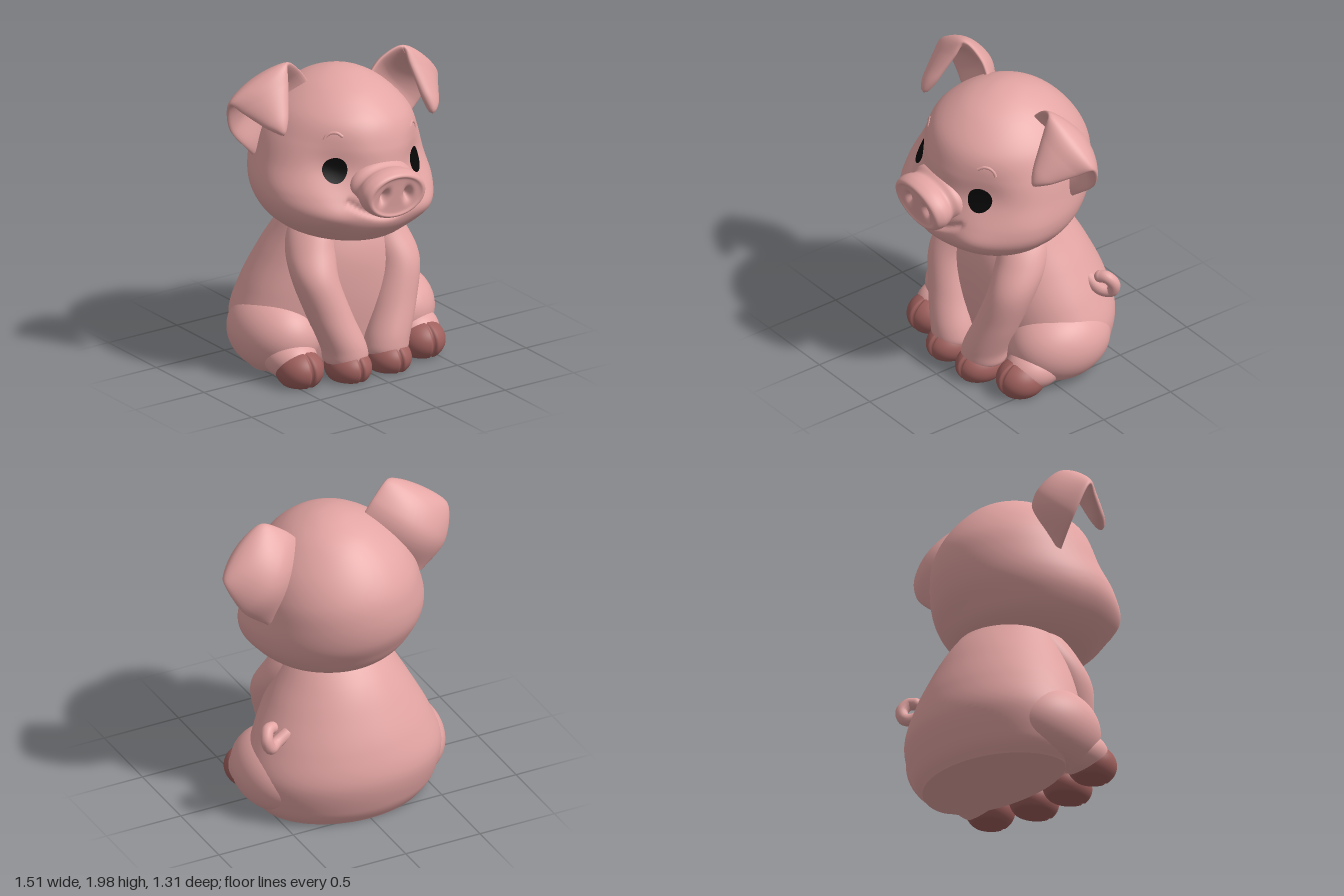
import * as THREE from 'three';
import { mergeVertices } from 'three/addons/utils/BufferGeometryUtils.js';

const skin = new THREE.MeshStandardMaterial({ color: 0xe3a5a3 });
skin.name = 'pink skin';
const horn = new THREE.MeshStandardMaterial({ color: 0x9f605d });
horn.name = 'hoof brown';
const black = new THREE.MeshStandardMaterial({ color: 0x070707 });
black.name = 'eye black';

// Weld a geometry, move its vertices by a rule, and smooth it
function sculpt(geo, rule = () => {}) {
  geo.deleteAttribute('uv');
  geo.deleteAttribute('normal');
  const g = mergeVertices(geo, 1e-5);
  const pos = g.attributes.position;
  const p = new THREE.Vector3();
  for (let i = 0; i < pos.count; i++) {
    p.fromBufferAttribute(pos, i);
    rule(p);
    pos.setXYZ(i, p.x, p.y, p.z);
  }
  g.computeVertexNormals();
  return g;
}

// Closed rings along a path: at(t, angle) returns a point
function rings(rows, cols, at, rule) {
  const verts = [], index = [];
  for (let i = 0; i <= rows; i++) {
    for (let j = 0; j < cols; j++) verts.push(...at(i / rows, (j / cols) * Math.PI * 2).toArray());
  }
  for (let i = 0; i < rows; i++) {
    for (let j = 0; j < cols; j++) {
      const k = (j + 1) % cols, a = i * cols, b = a + cols;
      index.push(a + j, a + k, b + k, a + j, b + k, b + j);
    }
  }
  const g = new THREE.BufferGeometry();
  g.setAttribute('position', new THREE.Float32BufferAttribute(verts, 3));
  g.setIndex(index);
  return sculpt(g, rule);
}

// Smooth loft of level sections [y, halfWidth, zCentre, frontDepth, backDepth, xCentre]
function loft(sections, rows, cols, rule) {
  const n = sections.length;
  const flip = (s, end) => (end[1] === 0 ? [s[0], -s[1], s[2], -s[3], -s[4], s[5]] : end);
  const list = [flip(sections[1], sections[0]), ...sections, flip(sections[n - 2], sections[n - 1])];
  const sample = (t) => {
    const i = Math.min(Math.floor(t * (n - 1)), n - 2), f = t * (n - 1) - i;
    return [0, 1, 2, 3, 4, 5].map((k) => {
      const [a, b, c, d] = [0, 1, 2, 3].map((m) => list[i + m][k] ?? 0);
      return b + 0.5 * f * (c - a + f * (2 * a - 5 * b + 4 * c - d + f * (3 * (b - c) + d - a)));
    });
  };
  return rings(rows, cols, (t, a) => {
    const [y, w, zc, front, back, xc] = sample(t);
    const c = Math.cos(a);
    return new THREE.Vector3(xc + w * Math.sin(a), y, zc + c * (c > 0 ? front : back));
  }, rule);
}

function mirrored(geo) {
  const g = geo.clone().scale(-1, 1, 1);
  const ix = g.index.array;
  for (let i = 0; i < ix.length; i += 3) [ix[i], ix[i + 1]] = [ix[i + 1], ix[i]];
  g.computeVertexNormals();
  return g;
}

function add(parent, name, geo, mat) {
  const m = new THREE.Mesh(geo, mat);
  m.name = name;
  parent.add(m);
  return m;
}

function addPair(parent, name, geo, mat) {
  add(parent, name + 'Left', geo, mat);
  add(parent, name + 'Right', mirrored(geo), mat);
}

const bump = (dx, dy, sx, sy = sx) => Math.exp(-((dx / sx) ** 2) - (dy / sy) ** 2);

// Ellipsoid resting flat on the ground
function blob(x, y, z, rx, ry, rz, rule = () => {}) {
  return sculpt(new THREE.SphereGeometry(1, 96, 40), (p) => {
    rule(p);
    p.set(x + p.x * rx, Math.max(0, y + p.y * ry), z + p.z * rz);
  });
}

const cleft = (p) => {
  if (p.z > 0) p.z *= 1 - 0.2 * Math.exp(-((p.x / 0.06) ** 2));
};

// Folded ear: the sheet runs from the root over the fold to the flap tip
function earGeometry() {
  const edge = (root, side, fold, tip) => {
    const [r, s, f, t] = [root, side, fold, tip].map((q) => new THREE.Vector3(...q));
    return new THREE.CatmullRomCurve3([r, s, f, f.clone().lerp(t, 0.25), t]);
  };
  const inner = edge([0.2, 1.75, -0.04], [0.3, 1.87, -0.04], [0.42, 1.94, 0], [0.515, 1.565, 0.19]);
  const outer = edge([0.52, 1.33, -0.15], [0.685, 1.5, -0.17], [0.755, 1.69, -0.1], [0.575, 1.55, 0.18]);
  const sheet = (u, v) => {
    const p = inner.getPoint(v).lerp(outer.getPoint(v), u);
    const arch = Math.sin(Math.PI * u);
    // Cupped back panel, with a fuller lower lobe and a rounded flap
    if (v < 0.5) p.z -= 0.1 * arch * Math.sin(Math.PI * (0.15 + v * 1.7));
    else p.z += 0.03 * arch * Math.sin(Math.PI * (v - 0.5) * 2);
    return p;
  };
  return rings(80, 40, (v, a) => {
    const k = v > 0.9 ? Math.sqrt(Math.max(0, 1 - ((v - 0.9) / 0.1) ** 2)) : 1;
    const u = 0.5 + 0.5 * k * Math.cos(a);
    const v0 = Math.min(Math.max(v, 0.01), 0.97);
    const du = sheet(u + 0.01, v0).sub(sheet(u - 0.01, v0));
    const dv = sheet(u, v0 + 0.01).sub(sheet(u, v0 - 0.01));
    const normal = du.cross(dv).normalize();
    return sheet(u, v).addScaledVector(normal, -0.04 * k * Math.sin(a));
  });
}

function buildHead() {
  const g = new THREE.Group();
  g.position.y = -1.3;
  const skull = add(g, 'skull', loft([
    [0.85, 0, 0.08, 0, 0], [0.885, 0.27, 0.08, 0.27, 0.3], [0.96, 0.43, 0.08, 0.38, 0.46],
    [1.08, 0.54, 0.1, 0.42, 0.57], [1.2, 0.565, 0.08, 0.425, 0.61], [1.35, 0.53, 0.02, 0.455, 0.57],
    [1.5, 0.485, -0.02, 0.5, 0.505], [1.65, 0.405, -0.02, 0.445, 0.415],
    [1.78, 0.265, -0.02, 0.3, 0.28], [1.85, 0.125, -0.02, 0.14, 0.13], [1.87, 0, -0.02, 0, 0],
  ], 120, 128, (p) => {
    if (p.z < 0) return;
    const x = Math.abs(p.x);
    // Cheeks, eye sockets, muzzle, chin and smile crease
    p.z += 0.05 * bump(x - 0.36, p.y - 1.1, 0.15, 0.12) - 0.04 * bump(x - 0.32, p.y - 1.42, 0.13, 0.14);
    p.z += 0.045 * bump(p.x, p.y - 1.28, 0.2, 0.15) + 0.035 * bump(p.x, p.y - 1.04, 0.2, 0.1);
    if (x < 0.25) p.z -= 0.025 * Math.exp(-(((p.y - 1.1 - 1.5 * x * x) / 0.022) ** 2));
  }), skin);

  // Point on the face, raised by lift
  const ray = new THREE.Raycaster();
  const onFace = (x, y, lift) => {
    ray.set(new THREE.Vector3(x, y, 2), new THREE.Vector3(0, 0, -1));
    return new THREE.Vector3(x, y, ray.intersectObject(skull)[0].point.z + lift);
  };
  addPair(g, 'eye', sculpt(new THREE.RingGeometry(0, 1, 32, 5), (p) => {
    p.copy(onFace(0.291 + p.x * 0.061 - p.y * 0.012, 1.367 + p.y * 0.075, 0.007));
  }), black);
  const browLine = [[0.245, 1.57], [0.268, 1.588], [0.295, 1.586], [0.32, 1.565], [0.332, 1.54]]
    .map(([x, y]) => onFace(x, y, -0.005));
  addPair(g, 'brow', sculpt(new THREE.TubeGeometry(new THREE.CatmullRomCurve3(browLine), 20, 0.01, 8)), skin);
  addPair(g, 'ear', earGeometry(), skin);

  // Snout with a folded rim and two nostril dents
  const profile = new THREE.SplineCurve([
    [0.9, -0.14], [1.01, -0.09], [1.02, -0.055], [0.93, -0.015], [0.99, 0.02], [1.02, 0.06],
    [0.97, 0.1], [0.87, 0.115], [0.74, 0.108], [0.5, 0.106], [0.25, 0.106], [0, 0.106],
  ].map((q) => new THREE.Vector2(...q))).getPoints(70);
  profile[70].x = 0;
  const snout = add(g, 'snout', sculpt(new THREE.LatheGeometry(profile, 72).rotateX(Math.PI / 2), (p) => {
    const x = Math.abs(p.x);
    if (p.z > 0.05) p.z -= 0.05 * bump(x - 0.39 + p.y * 0.12, p.y, 0.12, 0.27);
    p.x *= 0.218;
    p.y *= 0.152;
  }), skin);
  snout.position.set(0, 1.262, 0.522);
  snout.rotation.x = 0.16;

  const head = new THREE.Group();
  head.name = 'head';
  head.position.set(-0.026, 1.3, 0);
  head.rotation.z = -0.09;
  head.add(g);
  return head;
}

export function createModel() {
  const model = new THREE.Group();
  model.name = 'sittingPiglet';
  model.add(buildHead());

  // Body with a flat base
  add(model, 'body', loft([
    [0, 0.52, -0.15, 0.25, 0.39], [0.1, 0.59, -0.15, 0.33, 0.45], [0.3, 0.62, -0.17, 0.39, 0.48],
    [0.5, 0.555, -0.15, 0.39, 0.46], [0.7, 0.455, -0.12, 0.36, 0.405],
    [0.85, 0.375, -0.08, 0.29, 0.36], [1, 0.3, -0.05, 0.2, 0.27],
  ], 60, 80), skin);
  add(model, 'base', loft([[0, 0, -0.15, 0, 0], [0, 0.52, -0.15, 0.25, 0.39]], 2, 80), skin);

  // Legs and hooves
  addPair(model, 'frontLeg', loft([
    [0.05, 0, 0.25, 0, 0, 0.145], [0.1, 0.125, 0.25, 0.125, 0.125, 0.145], [0.2, 0.14, 0.25, 0.14, 0.14, 0.16],
    [0.4, 0.14, 0.21, 0.14, 0.14, 0.235], [0.63, 0.14, 0.15, 0.15, 0.16, 0.295],
    [0.8, 0.15, 0.05, 0.165, 0.16, 0.26], [0.95, 0.13, -0.02, 0.15, 0.14, 0.19], [1.03, 0, -0.02, 0, 0, 0.18],
  ], 56, 40), skin);
  addPair(model, 'frontHoof', blob(0.145, 0.07, 0.28, 0.137, 0.115, 0.16, cleft), horn);
  addPair(model, 'haunch', blob(0.41, 0.24, -0.11, 0.265, 0.25, 0.33), skin);
  addPair(model, 'hindFoot', blob(0.445, 0.138, 0.1, 0.158, 0.13, 0.18), skin);
  addPair(model, 'hindHoof', blob(0.443, 0.09, 0.2, 0.145, 0.125, 0.155, cleft), horn);

  // Curly tail with a rounded end
  const curl = [[0.44, 0.6, -0.31], [0.53, 0.56, -0.33], [0.585, 0.56, -0.37],
    [0.61, 0.62, -0.37], [0.585, 0.67, -0.335], [0.548, 0.666, -0.315]].map((q) => new THREE.Vector3(...q));
  add(model, 'tail', sculpt(new THREE.TubeGeometry(new THREE.CatmullRomCurve3(curl), 48, 0.038, 16)), skin);
  add(model, 'tailTip', new THREE.SphereGeometry(0.038, 16, 12), skin).position.copy(curl[5]);
  return model;
}
